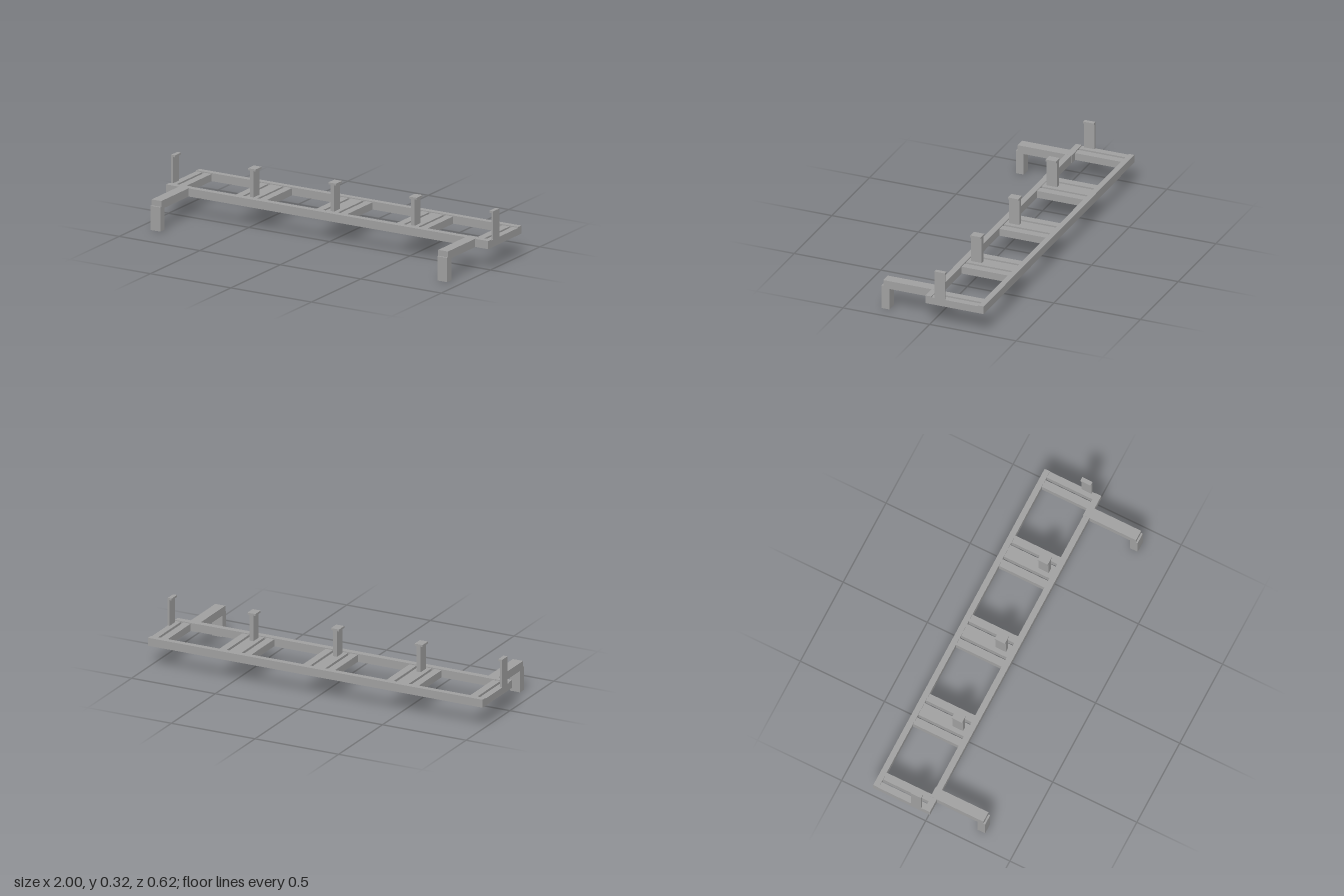
import * as THREE from 'three';

export function createModel() {
  const model = new THREE.Group();
  model.name = 'rackFrame';
  const steel = new THREE.MeshStandardMaterial({ color: 0xa0a0a0 });
  steel.name = 'grey steel';

  // Box given by its extents on each axis
  const box = (name, [x0, x1], [y0, y1], [z0, z1]) => {
    const mesh = new THREE.Mesh(new THREE.BoxGeometry(x1 - x0, y1 - y0, z1 - z0), steel);
    mesh.position.set((x0 + x1) / 2, (y0 + y1) / 2, (z0 + z1) / 2);
    mesh.name = name;
    model.add(mesh);
  };

  // Long rails
  const railY = [0.121, 0.166];
  box('frontRail', [-1, 1], railY, [-0.009, 0.025]);
  box('backRail', [-1, 1], railY, [-0.312, -0.28]);

  // Stations along the frame: slats, post and cap, halved at both ends
  const slatY = [0.121, 0.161], slatZ = [-0.28, -0.009], postZ = [-0.088, -0.027];
  for (const c of [-1, -0.5, 0, 0.5, 1]) {
    const clip = (a, b) => [Math.max(-1, c + a), Math.min(1, c + b)];
    box('centreSlat', clip(-0.037, 0.037), slatY, slatZ);
    if (c > -1) box('sideSlat', [c - 0.096, c - 0.053], slatY, slatZ);
    if (c < 1) box('sideSlat', [c + 0.053, c + 0.096], slatY, slatZ);
    box('post', clip(-0.012, 0.012), [0.161, 0.306], postZ);
    box('postCap', clip(-0.024, 0.024), [0.306, 0.317], postZ);
  }

  // Forward arms with drop legs
  for (const s of [-1, 1]) {
    const x = [s * 0.89 - 0.03, s * 0.89 + 0.03];
    box('arm', x, [0.121, 0.1665], [-0.012, 0.302]);
    box('leg', x, [0, 0.134], [0.267, 0.312]);
  }
  return model;
}
